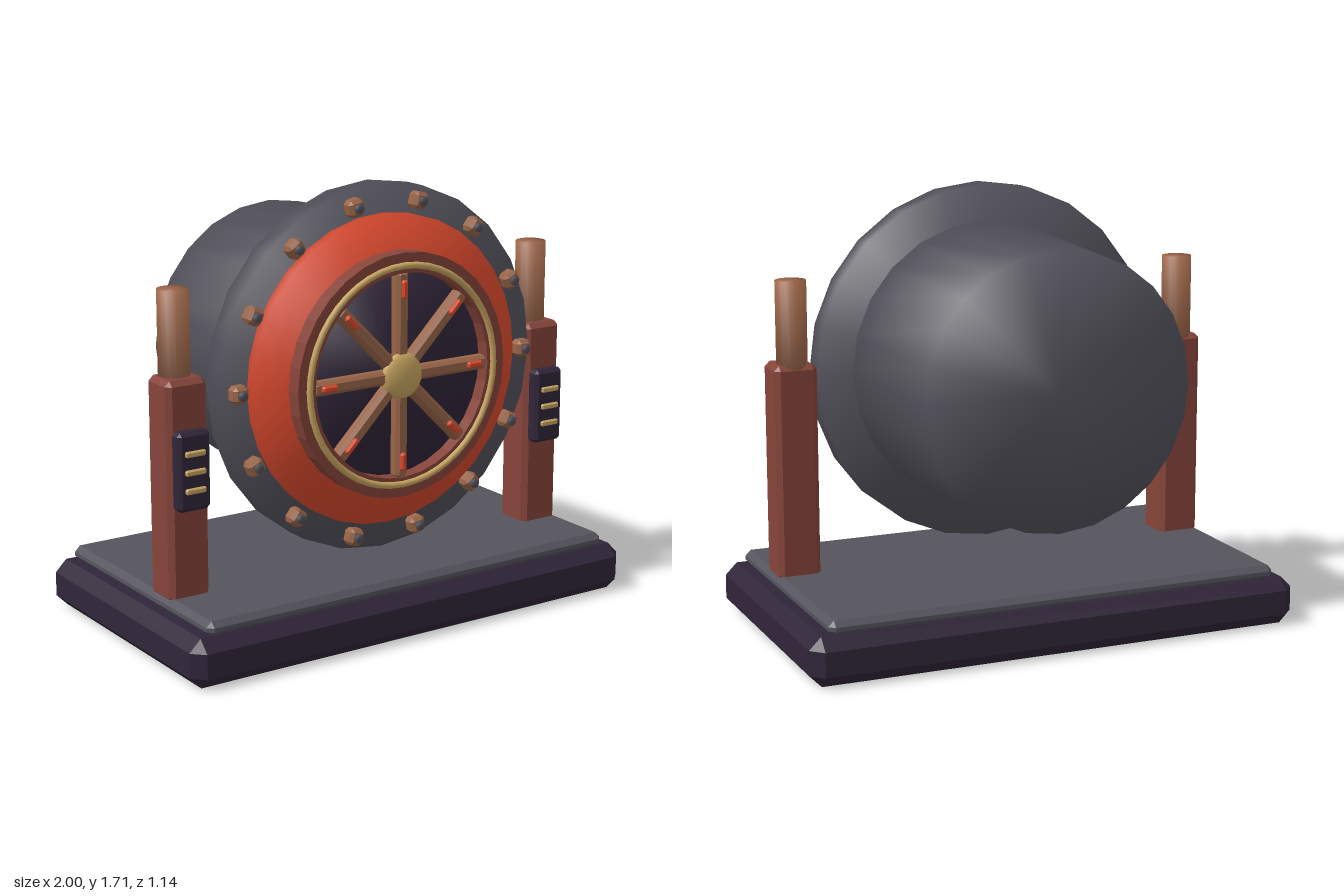
import * as THREE from 'three';
import { ConvexGeometry } from 'three/addons/geometries/ConvexGeometry.js';

const mat = (name, color) => new THREE.MeshStandardMaterial({ name, color });
const M = {
  plum: mat('dark plum', 0x302539),
  steel: mat('slate steel', 0x55535d),
  orange: mat('signal orange', 0xdc4a2e),
  russet: mat('russet', 0x86443a),
  copper: mat('copper', 0x9a6548),
  gold: mat('gold', 0xc9a661),
};

function add(parent, name, geometry, material, x = 0, y = 0, z = 0) {
  const mesh = new THREE.Mesh(geometry, material);
  mesh.name = name;
  mesh.position.set(x, y, z);
  parent.add(mesh);
  return mesh;
}

// Box with every edge cut off at 45 degrees, flat faces
function chamferBox(w, h, d, c) {
  const pts = [];
  for (const sx of [-1, 1]) for (const sy of [-1, 1]) for (const sz of [-1, 1])
    for (let k = 0; k < 3; k++) {
      pts.push(new THREE.Vector3(
        sx * (w / 2 - (k === 0 ? 0 : c)),
        sy * (h / 2 - (k === 1 ? 0 : c)),
        sz * (d / 2 - (k === 2 ? 0 : c))));
    }
  return new ConvexGeometry(pts);
}

// Closed drum along y whose normals blend softly over both rims
function softDrum(r0, y0, r1, y1, sides = 24) {
  const profile = [[0, y0], [r0, y0], [r1, y1], [0, y1]].map(p => new THREE.Vector2(...p));
  const geo = new THREE.LatheGeometry(profile, sides);
  const pos = geo.attributes.position, normal = geo.attributes.normal;
  const n = new THREE.Vector3();
  for (let i = 0; i < pos.count; i++) {
    const r = Math.hypot(pos.getX(i), pos.getZ(i));
    const s = i % 4 < 2 ? -1 : 1;
    n.set(pos.getX(i), s * Math.max(r, 0.01), pos.getZ(i)).normalize();
    normal.setXYZ(i, n.x, n.y, n.z);
  }
  return geo;
}
const softDisc = (...args) => softDrum(...args).rotateX(Math.PI / 2);

function makePost(side) {
  const post = new THREE.Group();
  post.name = side > 0 ? 'leftPost' : 'rightPost';
  post.position.x = side * 0.825;
  add(post, 'postBody', chamferBox(0.17, 0.845, 0.157, 0.02), M.russet, 0, 0.6425, 0.163);
  add(post, 'postRod', softDrum(0.06, 1.0, 0.06, 1.385, 20), M.copper, 0, 0, 0.145);
  add(post, 'controlPanel', chamferBox(0.136, 0.3, 0.06, 0.014), M.plum, 0, 0.73, 0.256);
  for (const y of [0.66, 0.73, 0.8])
    add(post, 'panelBar', chamferBox(0.085, 0.022, 0.02, 0.005), M.gold, 0, y, 0.287);
  return post;
}

export function createModel() {
  const model = new THREE.Group();
  model.name = 'vaultDoor';

  // Plinth
  add(model, 'plinth', chamferBox(2, 0.19, 1.14, 0.047), M.plum, 0, 0.095, 0);
  add(model, 'plinthTop', chamferBox(1.84, 0.06, 1.06, 0.022), M.steel, 0, 0.21, 0);

  for (const side of [-1, 1]) model.add(makePost(side));

  // Round body, all centred on the door axis
  const door = new THREE.Group();
  door.name = 'door';
  door.position.y = 1;
  model.add(door);
  add(door, 'drum', softDisc(0.535, -0.51, 0.567, 0.19), M.steel);
  add(door, 'flange', softDisc(0.71, 0.18, 0.71, 0.282), M.steel);
  add(door, 'doorPlate', softDisc(0.6, 0.27, 0.6, 0.325, 32), M.orange);
  add(door, 'innerDisc', softDisc(0.427, 0.31, 0.427, 0.372, 32), M.plum);

  // Faceted wheel rim
  const rim = [[0.395, 0.365], [0.472, 0.365], [0.472, 0.428], [0.395, 0.428], [0.395, 0.365]];
  const rimGeo = new THREE.LatheGeometry(rim.map(p => new THREE.Vector2(...p)), 32)
    .rotateX(Math.PI / 2).toNonIndexed();
  rimGeo.computeVertexNormals();
  add(door, 'wheelRim', rimGeo, M.russet);
  add(door, 'goldRing', new THREE.TorusGeometry(0.422, 0.013, 8, 48), M.gold, 0, 0, 0.428);

  // Spokes with small inlays
  for (let i = 0; i < 8; i++) {
    const spoke = new THREE.Group();
    spoke.name = 'spoke';
    spoke.rotation.z = i * Math.PI / 4;
    add(spoke, 'spokeBeam', chamferBox(0.37, 0.054, 0.055, 0.013), M.copper, 0.215, 0, 0.398);
    add(spoke, 'spokeInlay', chamferBox(0.07, 0.026, 0.022, 0.007), M.orange, 0.333, 0, 0.428);
    door.add(spoke);
  }
  add(door, 'hub', new THREE.SphereGeometry(0.09, 24, 16), M.gold, 0, 0, 0.415).scale.z = 0.36;

  // Bolts around the flange
  for (let i = 0; i < 14; i++) {
    const bolt = new THREE.Group();
    bolt.name = 'bolt';
    bolt.rotation.z = i * Math.PI / 7;
    add(bolt, 'boltBlock', chamferBox(0.066, 0.066, 0.06, 0.014), M.copper, 0.653, 0, 0.309);
    add(bolt, 'boltTip', softDisc(0.019, 0.33, 0.019, 0.349, 8), M.steel, 0.653, 0, 0);
    door.add(bolt);
  }
  return model;
}
